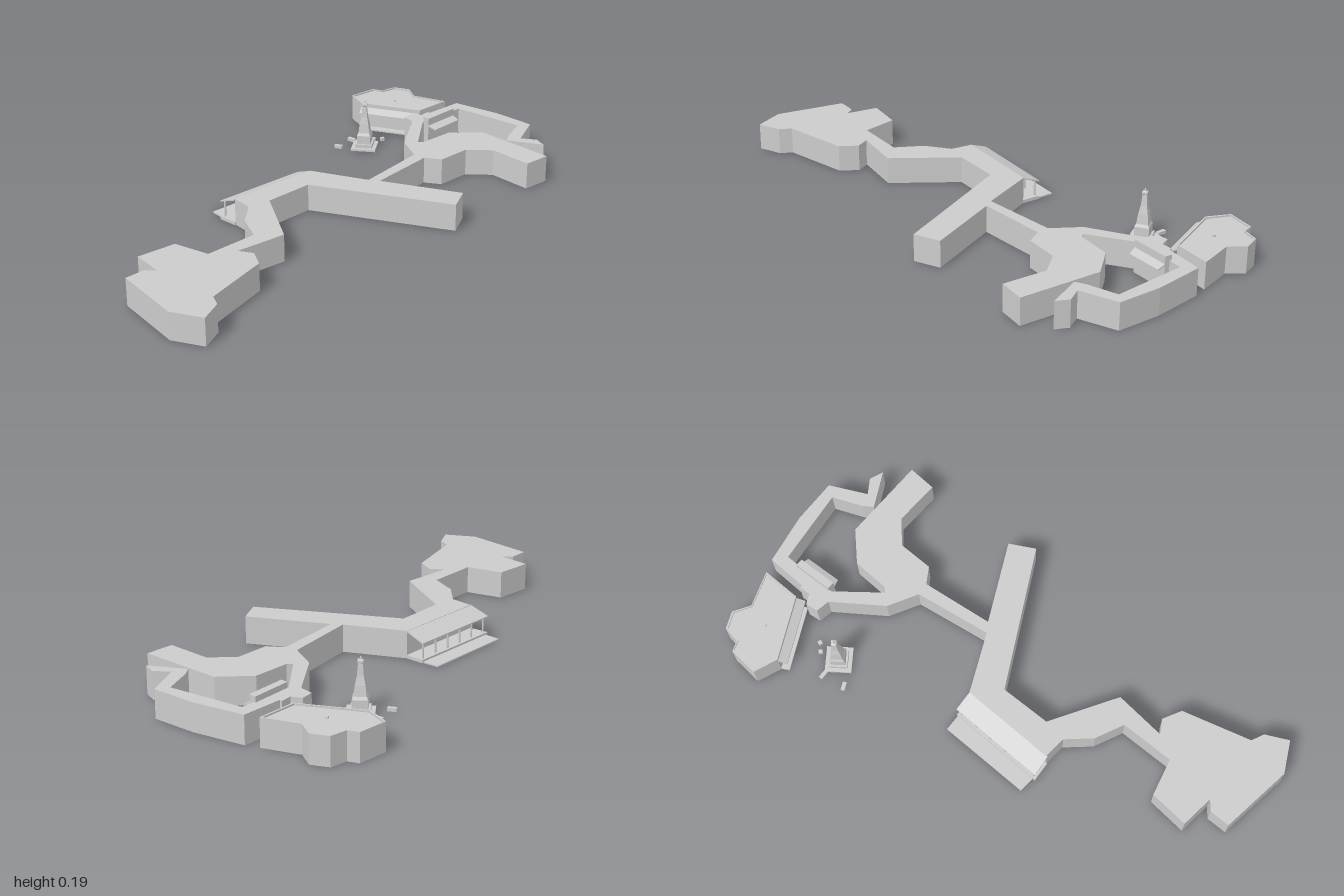
import * as THREE from 'three';

const grey = new THREE.MeshStandardMaterial({ color: 0xcccccc, side: THREE.DoubleSide });
const H = 0.1; // wall height

const toPath = (pts, Type) => new Type(pts.map(([x, z]) => new THREE.Vector2(x, z)));

function add(parent, name, geometry, x = 0, y = 0, z = 0) {
  const mesh = new THREE.Mesh(geometry, grey);
  mesh.name = name;
  mesh.position.set(x, y, z);
  parent.add(mesh);
  return mesh;
}

// Upright prism over a floor plan given as [x, z] points
function prism(plan, y0, y1, hole) {
  const shape = toPath(plan, THREE.Shape);
  if (hole) shape.holes.push(toPath(hole, THREE.Path));
  return new THREE.ExtrudeGeometry(shape, { depth: y1 - y0, bevelEnabled: false })
    .rotateX(Math.PI / 2).translate(0, y1, 0);
}

// Slab over four [x, topY, z] corners, clockwise seen from above
function slab(a, b, c, d, thickness) {
  const g = new THREE.BoxGeometry(1, 1, 1);
  const p = g.attributes.position;
  for (let i = 0; i < p.count; i++) {
    const u = p.getX(i) + 0.5, v = p.getZ(i) + 0.5, low = p.getY(i) < 0 ? thickness : 0;
    const m = [0, 1, 2].map(k =>
      (1 - v) * ((1 - u) * a[k] + u * b[k]) + v * ((1 - u) * d[k] + u * c[k]));
    p.setXYZ(i, m[0], m[1] - low, m[2]);
  }
  g.computeVertexNormals();
  return g;
}

const southPlan = [
  [-0.24, -0.11], [-0.015, -0.13], [0.04, -0.405], [0.085, -0.395], [0.025, -0.14],
  [0.33, -0.175], [0.345, -0.075], [-0.19, 0], [-0.25, 0.175], [-0.08, 0.385],
  [-0.16, 0.555], [-0.105, 0.545], [-0.055, 0.6], [-0.075, 0.855], [-0.04, 0.89],
  [-0.03, 0.98], [-0.15, 0.995], [-0.385, 0.87], [-0.36, 0.8], [-0.32, 0.785],
  [-0.43, 0.73], [-0.37, 0.6], [-0.235, 0.615], [-0.17, 0.43], [-0.25, 0.35],
  [-0.29, 0.25], [-0.365, 0.215],
];
const northPlan = [
  [0.04, -0.405], [0.085, -0.395], [0.15, -0.41], [0.195, -0.53], [0.29, -0.57],
  [0.445, -0.51], [0.485, -0.605], [0.195, -0.71], [0.075, -0.655], [0.025, -0.53],
  [0.005, -0.52], [-0.055, -0.7], [0.015, -0.895], [0.285, -0.835], [0.29, -0.72],
  [0.3, -0.68], [0.44, -0.7], [0.4, -0.735], [0.34, -0.72], [0.325, -0.865],
  [0.17, -0.915], [-0.015, -0.945], [-0.07, -0.805], [-0.08, -0.81], [-0.09, -0.77],
  [-0.13, -0.765], [-0.14, -0.72], [-0.095, -0.695], [-0.04, -0.495],
];
const pavilionPlan = [
  [-0.425, -0.84], [-0.38, -0.94], [-0.34, -0.94], [-0.31, -0.995], [-0.245, -1],
  [-0.2, -0.945], [-0.065, -0.945], [-0.115, -0.81], [-0.355, -0.78],
];

function createPavilion() {
  const g = new THREE.Group();
  g.name = 'pavilion';
  // Parapet follows the plan, shrunk towards the middle
  const inner = pavilionPlan.map(([x, z]) => [-0.255 + (x + 0.255) * 0.96, -0.88 + (z + 0.88) * 0.94]);
  add(g, 'pavilionBody', prism(pavilionPlan, 0, H - 0.006));
  add(g, 'parapet', prism(pavilionPlan, H - 0.006, H, inner));
  add(g, 'roofVent', new THREE.BoxGeometry(0.008, 0.006, 0.008), -0.25, H - 0.003, -0.87);
  add(g, 'awning', slab([-0.355, 0.085, -0.78], [-0.115, 0.085, -0.81],
    [-0.11, 0.07, -0.78], [-0.35, 0.07, -0.75], 0.006));
  add(g, 'frontStep', slab([-0.355, 0.006, -0.78], [-0.115, 0.006, -0.81],
    [-0.11, 0.006, -0.78], [-0.35, 0.006, -0.75], 0.006));
  return g;
}

function createPorch() {
  const g = new THREE.Group();
  g.name = 'porch';
  const wall = [[-0.24, -0.11], [-0.365, 0.22]];
  const eave = [[-0.305, -0.135], [-0.435, 0.2]];
  const edge = [[-0.365, -0.15], [-0.485, 0.167]];
  const strip = (outer, inner, yOut, yIn, t) => slab(
    [outer[0][0], yOut, outer[0][1]], [inner[0][0], yIn, inner[0][1]],
    [inner[1][0], yIn, inner[1][1]], [outer[1][0], yOut, outer[1][1]], t);
  add(g, 'canopy', strip(eave, wall, 0.072, 0.099, 0.004));
  add(g, 'terrace', strip(edge, wall, 0.005, 0.005, 0.005));
  add(g, 'porchFloor', strip(eave, wall, 0.012, 0.012, 0.012));
  // Columns along the eave
  for (let i = 0; i < 6; i++) {
    const t = 0.04 + 0.92 * i / 5;
    const x = eave[0][0] + (eave[1][0] - eave[0][0]) * t + 0.01;
    const z = eave[0][1] + (eave[1][1] - eave[0][1]) * t + 0.004;
    add(g, 'column', new THREE.CylinderGeometry(0.0035, 0.0035, 0.065, 8), x, 0.0415, z);
  }
  return g;
}

function createTower() {
  const g = new THREE.Group();
  g.name = 'tower';
  // Stepped square base, then a concave spire: [half width, height]
  add(g, 'lowerPlinth', new THREE.BoxGeometry(0.094, 0.008, 0.094), 0, 0.004, 0);
  add(g, 'upperPlinth', new THREE.BoxGeometry(0.066, 0.014, 0.066), 0, 0.015, 0);
  const profile = [[0.026, 0.02], [0.026, 0.055], [0.021, 0.065], [0.017, 0.1], [0.011, 0.13],
    [0.0075, 0.172], [0.0095, 0.174], [0.0095, 0.18], [0.003, 0.183], [0.002, 0.192], [0, 0.192]];
  const spire = new THREE.LatheGeometry(
    profile.map(([r, y]) => new THREE.Vector2(r * Math.SQRT2, y)), 4, Math.PI / 4).toNonIndexed();
  spire.computeVertexNormals();
  add(g, 'spire', spire);
  g.position.set(-0.255, 0, -0.6);
  g.rotation.y = 0.29;
  return g;
}

export function createModel() {
  const model = new THREE.Group();
  model.name = 'buildingComplex';
  add(model, 'southWing', prism(southPlan, 0, H));
  add(model, 'northWing', prism(northPlan, 0, H));
  model.add(createPavilion(), createPorch(), createTower());

  // Courtyard shed with a lean-to roof
  add(model, 'shed', prism([[-0.01, -0.85], [0.015, -0.84], [-0.03, -0.7], [-0.055, -0.71]], 0, 0.12));
  add(model, 'leanToRoof', slab([0.015, 0.092, -0.84], [0.04, 0.08, -0.83],
    [0, 0.08, -0.7], [-0.03, 0.092, -0.7], 0.005));

  // Small benches around the tower: x, z, length, turn
  for (const [x, z, length, turn] of [[-0.325, -0.63, 0.035, -0.3], [-0.342, -0.547, 0.03, 0.1],
    [-0.25, -0.672, 0.014, 0.4], [-0.22, -0.687, 0.014, 0.8]])
    add(model, 'bench', new THREE.BoxGeometry(length, 0.012, 0.014), x, 0.006, z).rotation.y = turn;
  return model;
}
